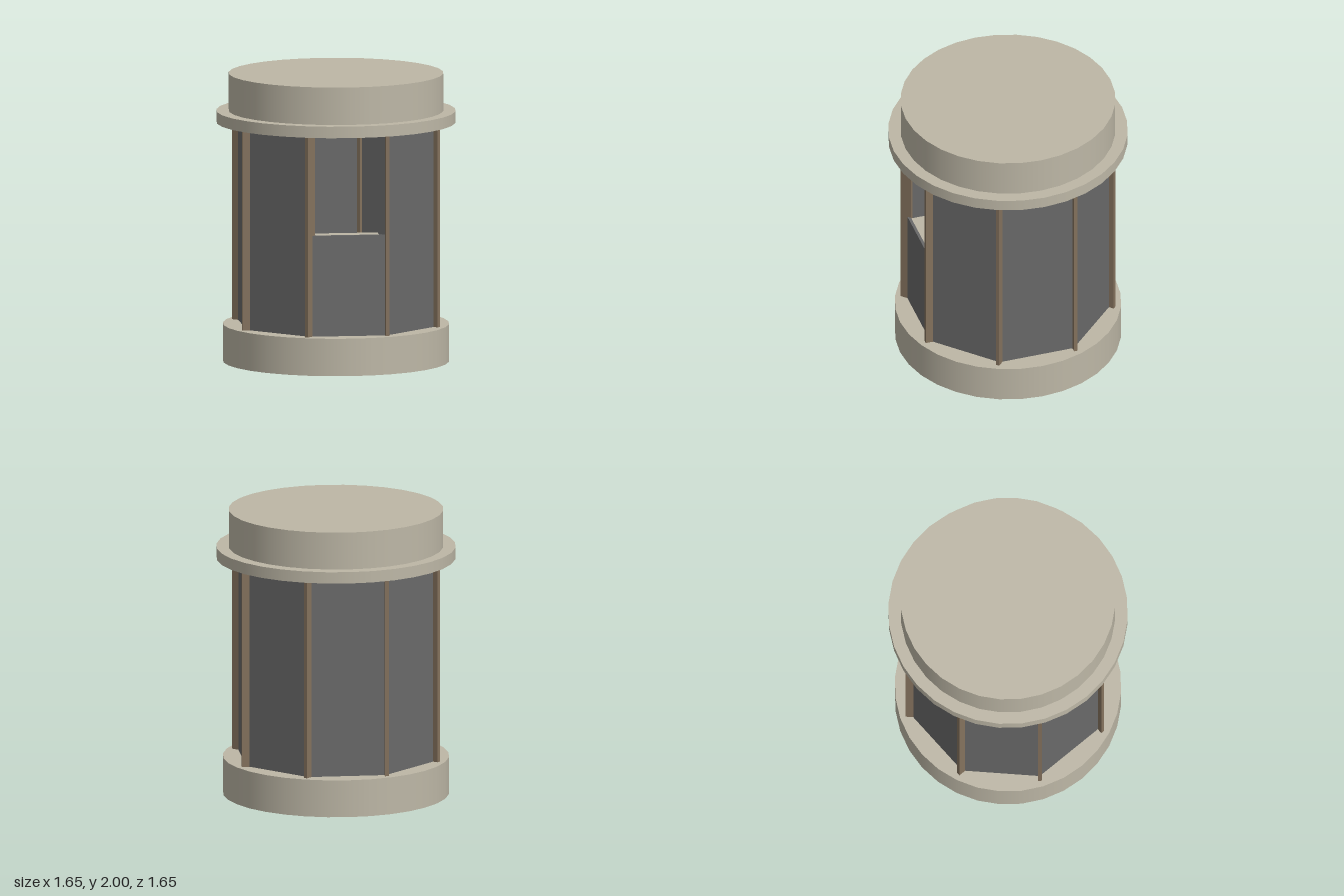
import * as THREE from 'three';

const stone = new THREE.MeshStandardMaterial({ color: 0xbdb7a6, side: THREE.DoubleSide });
stone.name = 'stone';
const panelGrey = new THREE.MeshStandardMaterial({ color: 0x696969 });
panelGrey.name = 'panel grey';
const bronze = new THREE.MeshStandardMaterial({ color: 0x84725d });
bronze.name = 'bronze';

const FLOOR = 0.26, CEILING = 1.66, SILL = 0.96;
const APOTHEM = 0.648, SIDES = 8;

export function createModel() {
  const model = new THREE.Group();
  model.name = 'kiosk';

  function add(name, geometry, material, parent = model) {
    const mesh = new THREE.Mesh(geometry, material);
    mesh.name = name;
    parent.add(mesh);
    return mesh;
  }

  function drum(name, radius, bottom, top, open = false) {
    const geometry = new THREE.CylinderGeometry(radius, radius, top - bottom, 32, 1, open);
    add(name, geometry, stone).position.y = (bottom + top) / 2;
  }

  // Hollow base: an open skirt below the floor disc
  drum('baseSkirt', 0.78, 0, FLOOR, true);
  const floor = add('baseFloor', new THREE.CircleGeometry(0.78, 32), stone);
  floor.rotation.x = -Math.PI / 2;
  floor.position.y = FLOOR;

  // Roof: wide lip with a narrower cap
  drum('roofLip', 0.825, CEILING, 1.74);
  drum('roofCap', 0.74, 1.74, 2);

  // Eight wall bays, each with one panel and the post at its left edge
  const thickness = 0.02;
  const height = CEILING - FLOOR;
  for (let i = 0; i < SIDES; i++) {
    const bay = new THREE.Group();
    bay.name = 'wallBay' + i;
    bay.rotation.y = (i * Math.PI * 2) / SIDES;
    model.add(bay);

    // The front bay on the -x side is a half-height wall under an opening
    const isOpening = i === SIDES - 1;
    const panelHeight = isOpening ? SILL - FLOOR : height;
    const panel = add(isOpening ? 'counterPanel' : 'wallPanel',
      new THREE.BoxGeometry(0.53, panelHeight, thickness), panelGrey, bay);
    panel.position.set(0, FLOOR + panelHeight / 2, APOTHEM - thickness / 2);

    const post = add('post', new THREE.BoxGeometry(0.026, height, 0.08), bronze, bay);
    post.position.set(0.271, FLOOR + height / 2, 0.645);

    // Ledge inside the opening
    if (isOpening) {
      const ledge = add('counterLedge', new THREE.BoxGeometry(0.44, 0.02, 0.1), stone, bay);
      ledge.position.set(0, SILL - 0.01, APOTHEM - thickness - 0.05);
    }
  }
  return model;
}
